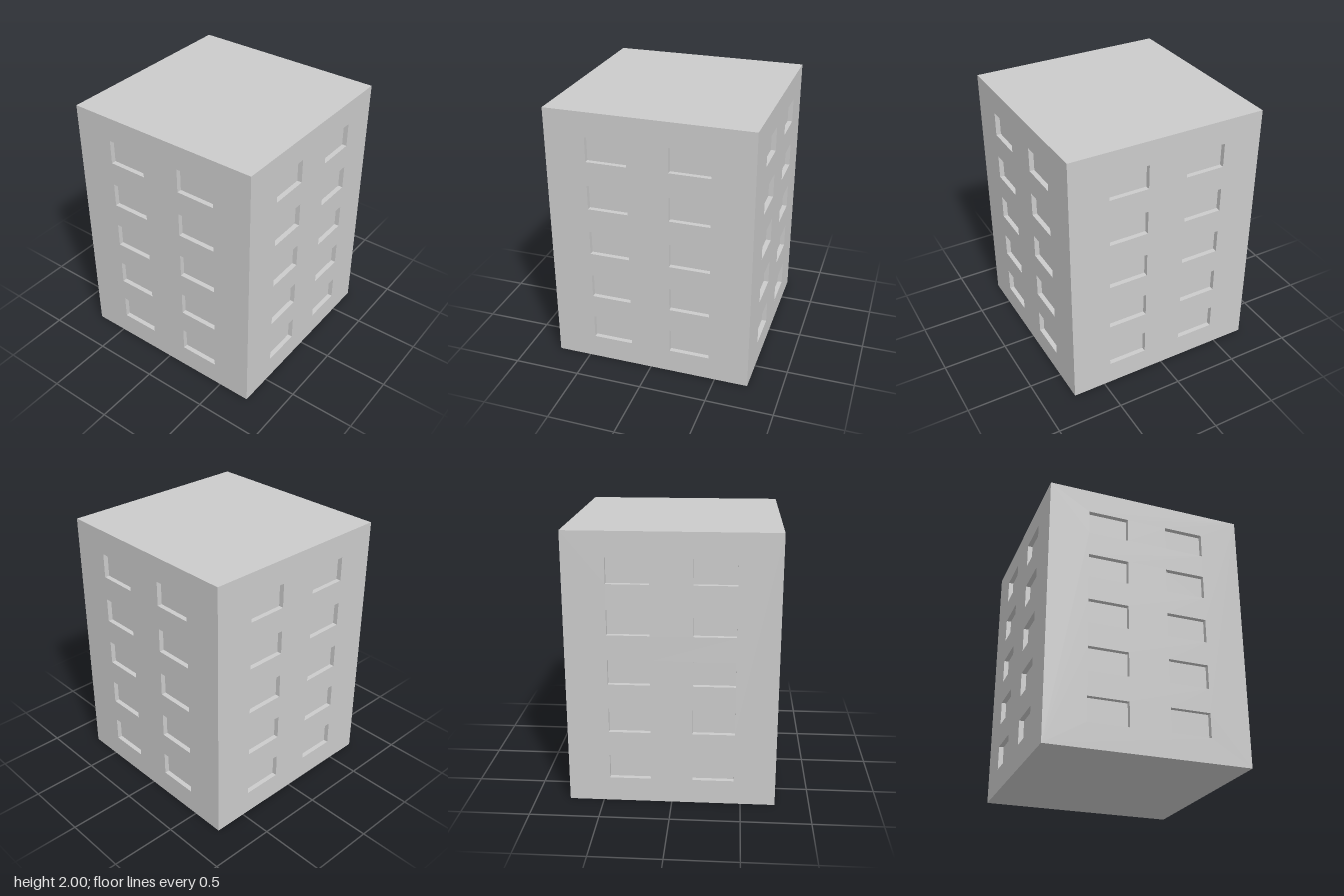
import * as THREE from 'three';

const WIDTH = 1.5, HEIGHT = 2, FLOORS = 5;
const STOREY = 2 / 11;              // window height, equal to the gap between floors
const WIN_W = 0.3, WIN_X = 0.3, DEPTH = 0.036;

// Window recess: a box seen from inside, without its outer face
function recessGeometry() {
  const geo = new THREE.BoxGeometry(WIN_W, STOREY, DEPTH);
  const index = Array.from(geo.index.array);
  index.splice(24, 6);              // drop the +z face
  geo.setIndex(index.reverse());    // turn the rest inwards
  geo.clearGroups();
  geo.computeVertexNormals();
  return geo;
}

// Flat wall with a rectangular hole per window
function wallGeometry(windows) {
  const w = WIDTH / 2;
  const shape = new THREE.Shape([[-w, 0], [w, 0], [w, HEIGHT], [-w, HEIGHT]].map(p => new THREE.Vector2(...p)));
  for (const [x, y] of windows) {
    const a = WIN_W / 2, b = STOREY / 2;
    shape.holes.push(new THREE.Path([[x - a, y - b], [x - a, y + b], [x + a, y + b], [x + a, y - b]]
      .map(p => new THREE.Vector2(...p))));
  }
  return new THREE.ShapeGeometry(shape);
}

export function createModel() {
  const model = new THREE.Group();
  model.name = 'building';
  const material = new THREE.MeshStandardMaterial({ color: 0xcccccc });
  const add = (parent, name, geo) => {
    const mesh = new THREE.Mesh(geo, material);
    mesh.name = name;
    parent.add(mesh);
    return mesh;
  };

  // Window centres, two per floor
  const windows = [];
  for (let i = 0; i < FLOORS; i++)
    for (const x of [-WIN_X, WIN_X]) windows.push([x, STOREY * (1.5 + 2 * i)]);

  // Four identical facades
  const wall = wallGeometry(windows), recess = recessGeometry();
  ['front', 'left', 'back', 'right'].forEach((side, i) => {
    const facade = new THREE.Group();
    facade.name = side + 'Facade';
    facade.rotation.y = i * Math.PI / 2;
    add(facade, 'wall', wall).position.z = WIDTH / 2;
    for (const [x, y] of windows)
      add(facade, 'windowRecess', recess).position.set(x, y, WIDTH / 2 - DEPTH / 2);
    model.add(facade);
  });

  // Roof and underside
  const slab = new THREE.PlaneGeometry(WIDTH, WIDTH);
  const roof = add(model, 'roof', slab);
  roof.position.y = HEIGHT;
  roof.rotation.x = -Math.PI / 2;
  add(model, 'base', slab).rotation.x = Math.PI / 2;

  return model;
}
